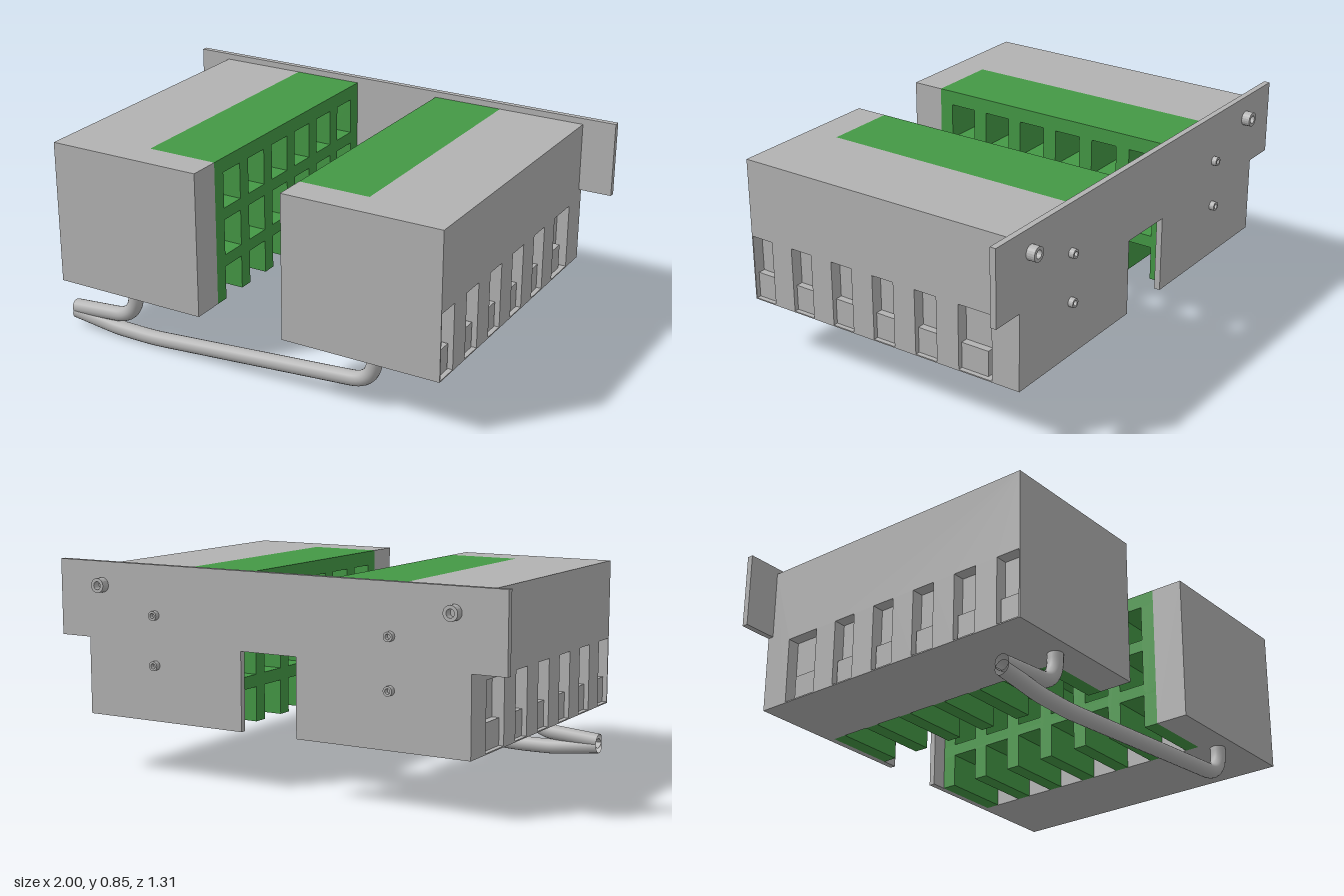
import * as THREE from 'three';

const grey = new THREE.MeshStandardMaterial({ color: 0xb2b2b2 });
grey.name = 'greyMetal';
const steel = new THREE.MeshStandardMaterial({ color: 0xb4b4b4, side: THREE.DoubleSide });
steel.name = 'handleSteel';
const green = new THREE.MeshStandardMaterial({ color: 0x449845 });
green.name = 'greenPlastic';

function add(parent, name, geometry, material) {
  const mesh = new THREE.Mesh(geometry, material);
  mesh.name = name;
  parent.add(mesh);
  return mesh;
}

// Box between two corners; s = -1 mirrors it to the other side
function box(parent, name, material, s, [x0, x1], [y0, y1], [z0, z1]) {
  const m = add(parent, name, new THREE.BoxGeometry(x1 - x0, y1 - y0, z1 - z0), material);
  m.position.set(s * (x0 + x1) / 2, (y0 + y1) / 2, (z0 + z1) / 2);
}

const BOTTOM = 0.23, TOP = 0.83, FRONT = 0.655, BACK = -0.595, GREEN_FRONT = 0.52;
const SLOTS = [[0.55, 0.65], [0.35, 0.45], [0.15, 0.25], [-0.05, 0.05], [-0.25, -0.15], [-0.5, -0.35]];

function rectangle(shape, x0, y0, x1, y1) {
  shape.moveTo(x0, y0);
  shape.lineTo(x1, y0);
  shape.lineTo(x1, y1);
  shape.lineTo(x0, y1);
  shape.closePath();
  return shape;
}

// Housing: solid core, front end and slotted outer wall
function makeHousing(s) {
  const g = new THREE.Group();
  g.name = s > 0 ? 'leftHousing' : 'rightHousing';
  box(g, 'core', grey, s, [0.49, 0.81], [BOTTOM, TOP], [BACK, GREEN_FRONT]);
  box(g, 'frontEnd', grey, s, [0.19, 0.81], [BOTTOM, TOP], [GREEN_FRONT, FRONT]);

  const wall = rectangle(new THREE.Shape(), BACK, BOTTOM, FRONT, TOP);
  for (const [z0, z1] of SLOTS) wall.holes.push(rectangle(new THREE.Path(), z0, BOTTOM + 0.005, z1, 0.505));
  const geo = new THREE.ExtrudeGeometry(wall, { depth: 0.05, bevelEnabled: false });
  geo.rotateY(-Math.PI / 2);
  add(g, 'slottedWall', geo, grey).position.x = s > 0 ? 0.86 : -0.81;
  SLOTS.forEach(([z0, z1], i) =>
    box(g, 'slotStep', grey, s, [0.8, 0.84], [BOTTOM + 0.005, 0.34], [i === 5 ? -0.47 : z0 + 0.005, z1]));
  return g;
}

// Open green rack: top, shelves and upright dividers
function makeRack(s) {
  const g = new THREE.Group();
  g.name = s > 0 ? 'leftRack' : 'rightRack';
  const depth = [0.19, 0.49];
  for (const y of [[0.77, TOP], [0.57, 0.62], [0.37, 0.42]])
    box(g, 'shelf', green, s, depth, y, [BACK, GREEN_FRONT]);
  const count = 7, thick = 0.06;
  const pitch = (GREEN_FRONT - BACK - thick) / (count - 1);
  for (let i = 0; i < count; i++) {
    const z = BACK + i * pitch;
    box(g, 'divider', green, s, depth, [BOTTOM, 0.775], [z, z + thick]);
  }
  return g;
}

// Back plate with narrow lower tabs and a notch between them
function makeBackPlate() {
  const pts = [[-1, 0.545], [-0.86, 0.545], [-0.86, BOTTOM], [-0.125, BOTTOM], [-0.125, 0.545],
    [0.125, 0.545], [0.125, BOTTOM], [0.86, BOTTOM], [0.86, 0.545], [1, 0.545], [1, 0.855], [-1, 0.855]];
  const shape = new THREE.Shape(pts.map(p => new THREE.Vector2(...p)));
  const geo = new THREE.ExtrudeGeometry(shape, { depth: 0.025, bevelEnabled: false });
  geo.translate(0, 0, -0.62);
  return geo;
}

// Hollow stud standing out from the back plate
function stud(parent, name, x, y, r, length) {
  const profile = [[r * 0.55, -length * 0.5], [r * 0.55, length], [r, length], [r, 0]]
    .map(p => new THREE.Vector2(p[0], p[1]));
  profile[0].y = 0.002;
  const geo = new THREE.LatheGeometry(profile.reverse(), 20).toNonIndexed();
  geo.computeVertexNormals();
  geo.rotateX(-Math.PI / 2);
  add(parent, name, geo, steel).position.set(x, y, -0.62);
}

// Tube through straight runs with rounded corners
function bentTube(points, bends) {
  const path = new THREE.CurvePath();
  const v = points.map(p => new THREE.Vector3(p[0], p[1], 0.575));
  let from = v[0];
  for (let i = 1; i < v.length - 1; i++) {
    const r = bends[i - 1];
    const a = v[i].clone().add(v[i - 1].clone().sub(v[i]).setLength(r));
    const b = v[i].clone().add(v[i + 1].clone().sub(v[i]).setLength(r));
    path.add(new THREE.LineCurve3(from, a));
    path.add(new THREE.QuadraticBezierCurve3(a, v[i], b));
    from = b;
  }
  path.add(new THREE.LineCurve3(from, v[v.length - 1]));
  return new THREE.TubeGeometry(path, 80, 0.031, 18, false);
}

export function createModel() {
  const model = new THREE.Group();
  model.name = 'rackModule';
  for (const s of [1, -1]) {
    model.add(makeHousing(s), makeRack(s));
    stud(model, 'largeStud', s * 0.79, 0.76, 0.03, 0.035);
    for (const y of [0.655, 0.455]) stud(model, 'smallStud', s * 0.53, y, 0.019, 0.021);
  }
  add(model, 'backPlate', makeBackPlate(), grey);

  // Bail handle: short upper arm and long lower bar meeting at the tip
  const handle = new THREE.Group();
  handle.name = 'handle';
  add(handle, 'upperArm', bentTube([[-0.55, 0.25], [-0.555, 0.105], [-0.86, 0.08]], [0.1]), steel);
  add(handle, 'lowerBar', bentTube(
    [[-0.86, 0.06], [-0.65, 0.034], [-0.47, 0.032], [0.55, 0.11], [0.55, 0.25]], [0.03, 0.06, 0.1]), steel);
  model.add(handle);
  return model;
}
